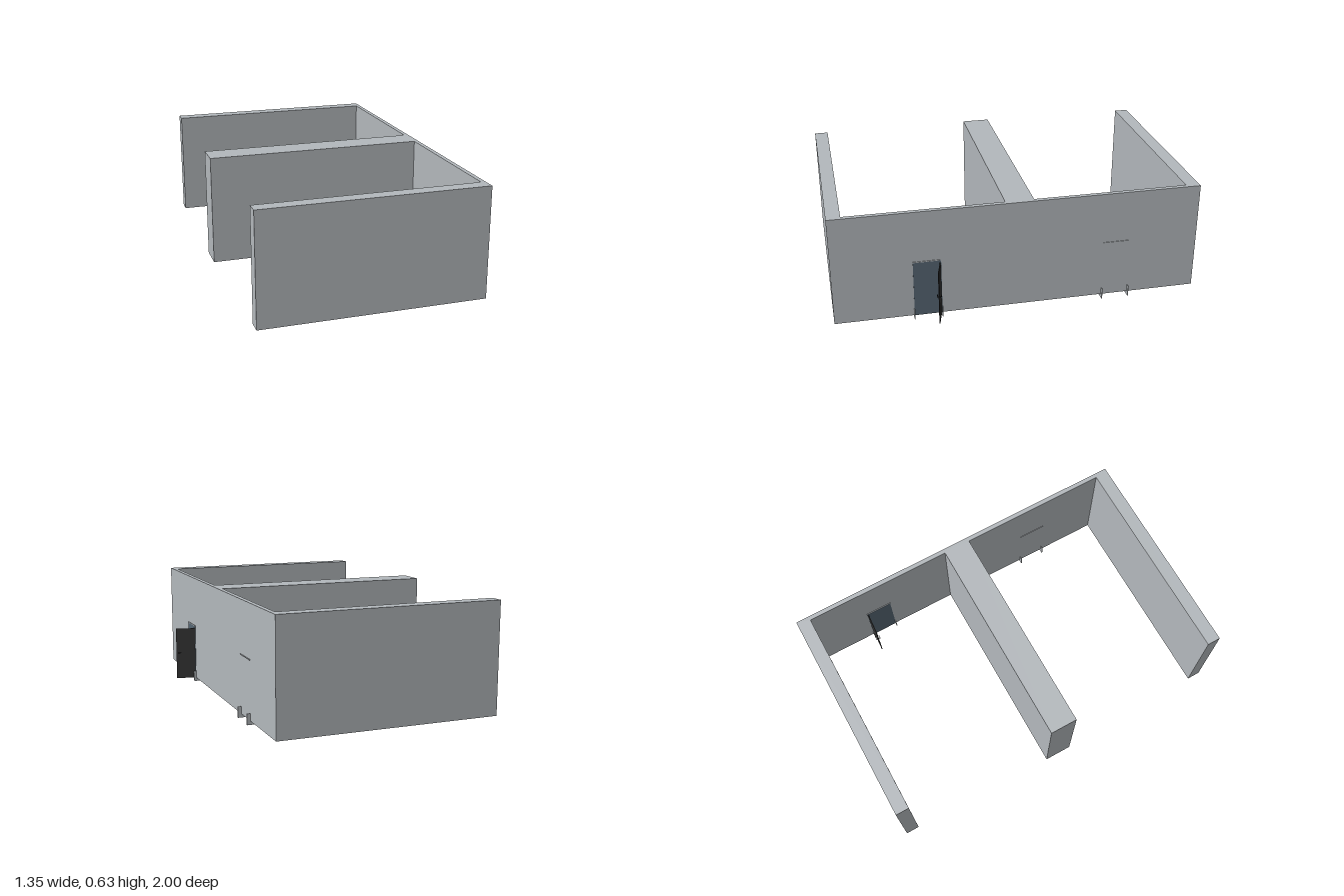
import * as THREE from 'three';

const wallMat = new THREE.MeshStandardMaterial({ name: 'wall grey', color: 0xb4b9bd });
const panelMat = new THREE.MeshStandardMaterial({ name: 'doorway slate blue', color: 0x566673 });
const doorMat = new THREE.MeshStandardMaterial({ name: 'door charcoal', color: 0x333333 });
const handleMat = new THREE.MeshStandardMaterial({ name: 'handle black', color: 0x151515 });

function box(parent, name, mat, size, pos) {
  const mesh = new THREE.Mesh(new THREE.BoxGeometry(...size), mat);
  mesh.name = name;
  mesh.position.set(...pos);
  parent.add(mesh);
  return mesh;
}

// Comb-shaped floor plan (x, z), extruded to the wall height
function makeWalls() {
  const plan = [
    [0.56, -1], [0.56, 1], [-0.66, 1], [-0.66, 0.925], [0.535, 0.925], [0.535, 0.075],
    [-0.675, 0.075], [-0.675, -0.08], [0.535, -0.08], [0.535, -0.925], [-0.66, -0.925], [-0.66, -1],
  ];
  const shape = new THREE.Shape(plan.map(([x, z]) => new THREE.Vector2(x, z)));
  const geo = new THREE.ExtrudeGeometry(shape, { depth: 0.61, bevelEnabled: false });
  geo.rotateX(Math.PI / 2).translate(0, 0.63, 0);
  const walls = new THREE.Mesh(geo, wallMat);
  walls.name = 'walls';
  return walls;
}

// Doorway in the long wall; side = +1 opens outward, -1 opens inward
function makeDoorway(name, z, side, swing) {
  const group = new THREE.Group();
  group.name = name;
  group.position.set(0.5475, 0, z);

  box(group, 'doorPanel', panelMat, [0.005, 0.32, 0.15], [side * 0.0125, 0.18, 0]);
  box(group, 'lintel', wallMat, [0.032, 0.005, 0.155], [0, 0.34, 0]);
  for (const s of [-1, 1]) {
    box(group, 'jambFoot', wallMat, [0.058, 0.06, 0.004], [-side * 0.003, 0.03, s * 0.0755]);
  }

  // Open leaf, hinged on the low-z jamb
  const leaf = new THREE.Group();
  leaf.name = 'doorLeaf';
  leaf.position.set(side * 0.0125, 0, -0.07);
  leaf.rotation.y = side > 0 ? -swing : Math.PI + swing;
  box(leaf, 'leafBoard', doorMat, [0.115, 0.305, 0.005], [0.0575, 0.1725, 0]);
  for (const s of [-1, 1]) {
    box(leaf, 'handleStem', handleMat, [0.004, 0.004, 0.01], [0.105, 0.178, s * 0.0065]);
    box(leaf, 'handleBar', handleMat, [0.022, 0.005, 0.003], [0.096, 0.178, s * 0.011]);
  }
  group.add(leaf);
  return group;
}

export function createModel() {
  const model = new THREE.Group();
  model.name = 'building';
  model.add(makeWalls());
  model.add(makeDoorway('outwardDoorway', 0.4985, 1, 0.24));
  model.add(makeDoorway('inwardDoorway', -0.5425, -1, -0.06));
  return model;
}
